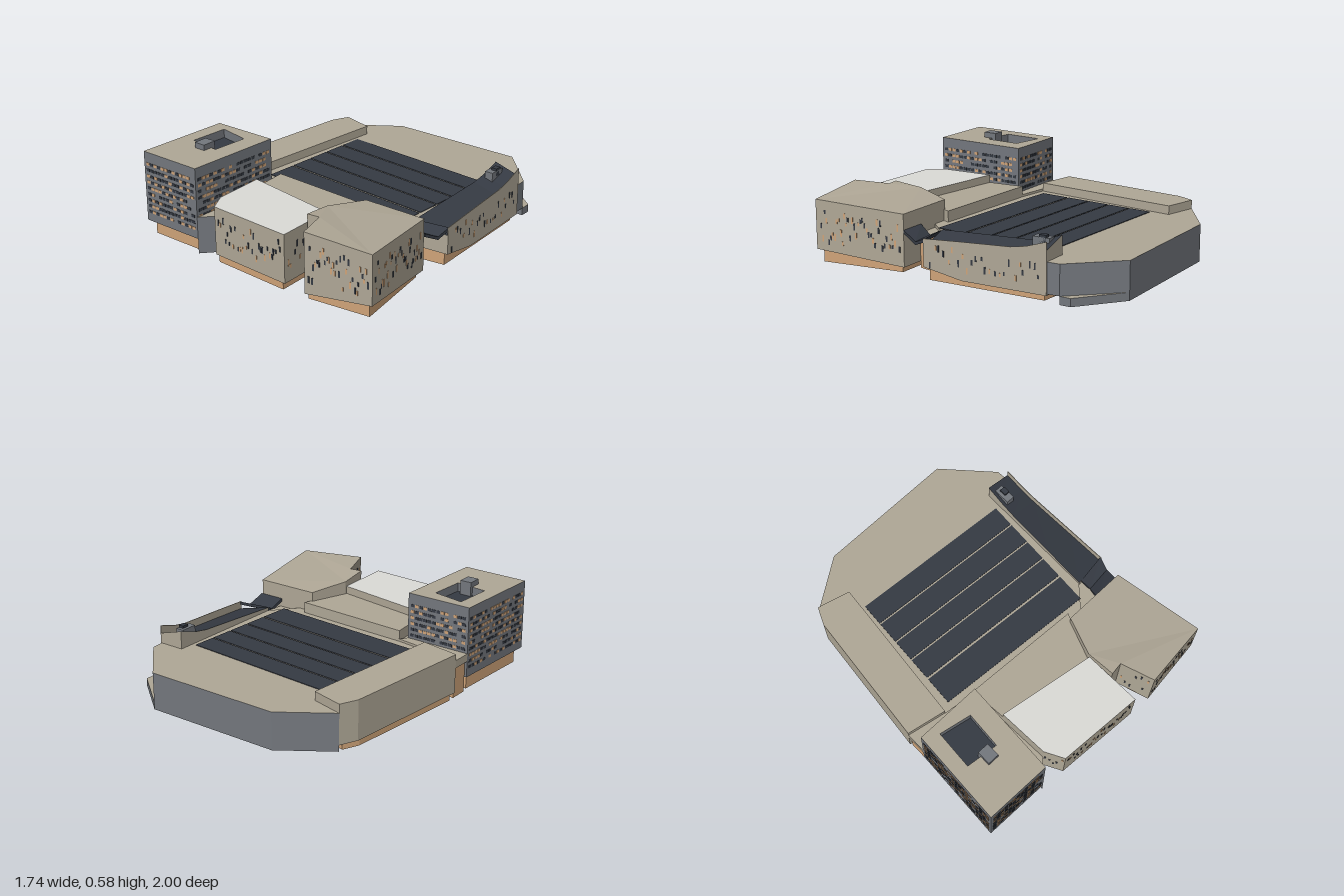
import * as THREE from 'three';
import { mergeGeometries } from 'three/addons/utils/BufferGeometryUtils.js';

const mat = (name, color, side = THREE.FrontSide) => {
  const m = new THREE.MeshStandardMaterial({ color, side });
  m.name = name;
  return m;
};

export function createModel() {
  const root = new THREE.Group();
  root.name = 'buildingComplex';
  const stone = mat('stone', 0xb0a897);
  const slate = mat('slate', 0x353a43);
  const grey = mat('greyPanel', 0x74787e, THREE.DoubleSide);
  const wood = mat('warmWood', 0xd0a479, THREE.DoubleSide);
  const pale = mat('paleRoof', 0xdcdcd8);

  let seed = 11;
  const rnd = () => (seed = (seed * 16807) % 2147483647) / 2147483647;

  const add = (name, geo, material) => {
    const m = new THREE.Mesh(geo, material);
    m.name = name;
    root.add(m);
  };

  // Solid over a plan outline of [x, z, bottom?, top?]
  function solid(name, plan, y0, y1, [wall, top, bottom], hole) {
    let ring = plan.map(([x, z, b = y0, t = y1]) =>
      ({ p: new THREE.Vector2(x, -z), hi: [x, t, z], lo: [x, b, z] }));
    if (THREE.ShapeUtils.isClockWise(ring.map(r => r.p))) ring = ring.reverse();
    const contour = ring.map(r => r.p);
    const groups = [[], [], []];
    ring.forEach((a, i) => {
      const b = ring[(i + 1) % ring.length];
      groups[0].push(a.lo, b.lo, b.hi, a.lo, b.hi, a.hi);
    });
    let holes = [], hiPts = ring.map(r => r.hi);
    if (hole) {
      let h = hole.map(([x, z]) => new THREE.Vector2(x, -z));
      if (!THREE.ShapeUtils.isClockWise(h)) h = h.reverse();
      holes = [h];
      hiPts = hiPts.concat(h.map(p => [p.x, y1, -p.y]));
    }
    for (const f of THREE.ShapeUtils.triangulateShape(contour, holes)) groups[1].push(...f.map(i => hiPts[i]));
    for (const [a, b, c] of THREE.ShapeUtils.triangulateShape(contour, []))
      groups[2].push(ring[a].lo, ring[c].lo, ring[b].lo);
    const geo = new THREE.BufferGeometry();
    geo.setAttribute('position', new THREE.Float32BufferAttribute(groups.flat(2), 3));
    let start = 0;
    groups.forEach((g, i) => { geo.addGroup(start, g.length, i); start += g.length; });
    geo.computeVertexNormals();
    add(name, geo, [wall, top, bottom]);
  }

  // Open ring of walls along an outline
  function band(name, plan, y0, y1, material) {
    const pts = [];
    plan.forEach(([x, z], i) => {
      const [u, w] = plan[(i + 1) % plan.length];
      pts.push(x, y0, z, u, y0, w, u, y1, w, x, y0, z, u, y1, w, x, y1, z);
    });
    const geo = new THREE.BufferGeometry();
    geo.setAttribute('position', new THREE.Float32BufferAttribute(pts, 3));
    geo.computeVertexNormals();
    add(name, geo, material);
  }

  // Recessed wooden plinth: the outline drawn in towards its middle
  function plinth(name, plan, height, k = 0.9) {
    const cx = plan.reduce((s, p) => s + p[0], 0) / plan.length;
    const cz = plan.reduce((s, p) => s + p[1], 0) / plan.length;
    band(name, plan.map(([x, z]) => [cx + (x - cx) * k, cz + (z - cz) * k]), 0, height, wood);
  }

  // Thin window plates on the wall from a to b; each item is [along, y, w, h, lit]
  function windows(name, a, b, items) {
    const dx = b[0] - a[0], dz = b[1] - a[1], sets = [[], []];
    for (const [t, y, w, h, lit] of items) {
      const g = new THREE.BoxGeometry(w, h, 0.004);
      g.rotateY(Math.atan2(-dz, dx));
      g.translate(a[0] + dx * t, y, a[1] + dz * t);
      sets[lit ? 1 : 0].push(g);
    }
    sets.forEach((s, i) => s.length && add(name + (i ? 'Lit' : 'Dark'), mergeGeometries(s), i ? wood : slate));
  }
  const scatter = (name, a, b, n, lo, hi) => windows(name, a, b, Array.from({ length: n }, (_, i) =>
    [0.04 + 0.92 * (i + 0.2 + 0.6 * rnd()) / n, lo + (hi - lo) * rnd(), 0.011, 0.02 + 0.024 * rnd(), rnd() < 0.35]));

  // Tower with a sunken roof court
  const tower = [[-0.84, 0.32], [-0.41, 0.32], [-0.44, 0.945], [-0.87, 0.94]];
  const court = [[-0.745, 0.38], [-0.54, 0.42], [-0.555, 0.655], [-0.76, 0.63]];
  solid('tower', tower, 0.095, 0.545, [grey, stone, slate], court);
  band('courtWalls', court, 0.49, 0.545, grey);
  solid('courtFloor', court, 0.485, 0.49, [slate, slate, slate]);
  plinth('towerPlinth', tower, 0.1, 0.87);
  add('towerRoofUnit', new THREE.BoxGeometry(0.075, 0.09, 0.09).translate(-0.63, 0.535, 0.665), grey);
  tower.forEach((p, s) => {
    const q = tower[(s + 1) % 4];
    const cols = Math.round(Math.hypot(q[0] - p[0], q[1] - p[1]) / 0.031) - 1;
    const items = [];
    for (let r = 0; r < 9; r++) for (let c = 0; c < cols; c++)
      if (rnd() < 0.88) items.push([(c + 1) / (cols + 1), 0.157 + r * 0.039, 0.025, 0.018, rnd() < 0.45]);
    windows('towerWindows' + s, p, q, items);
  });

  // Low links beside and behind the tower
  solid('towerSideLink', [[-0.41, 0.32], [-0.38, 0.27], [-0.36, 0.51], [-0.345, 0.84], [-0.44, 0.945]],
    0, 0.235, [grey, stone, grey]);
  const rear = [[-0.84, 0.19], [-0.585, 0.24], [-0.38, 0.27], [-0.41, 0.32], [-0.84, 0.32]];
  solid('towerRearLink', rear, 0.2, 0.25, [stone, stone, slate]);
  plinth('towerRearLobby', rear, 0.21, 0.94);

  // Centre front wing with a pale roof
  const centre = [[-0.36, 0.51], [-0.345, 0.84], [-0.28, 0.96], [0.28, 0.99], [0.27, 0.61]];
  solid('centreWing', centre, 0.05, 0.355, [stone, pale, slate]);
  plinth('centrePlinth', centre, 0.06, 0.93);
  scatter('centreFrontWindows', centre[2], centre[3], 30, 0.11, 0.31);
  scatter('centreCornerWindows', centre[1], centre[2], 5, 0.11, 0.31);
  scatter('centreSideWindows', centre[3], centre[4], 12, 0.11, 0.31);

  // Link between the hall and the front wings
  const link = [[-0.38, 0.27], [0.39, 0.31], [0.27, 0.61], [-0.36, 0.51]];
  solid('middleLink', link, 0.04, 0.305, [stone, stone, slate]);
  plinth('middlePlinth', link, 0.05, 0.93);

  // Front wing with a slanted roof and a lifted corner
  const wing = [[0.36, 0.355, 0.04, 0.365], [0.775, 0.355, 0.04, 0.365], [0.865, 0.945, 0.085, 0.395],
    [0.43, 0.995, 0.04, 0.42], [0.36, 0.78, 0.04, 0.41], [0.28, 0.79, 0.04, 0.41], [0.27, 0.6, 0.04, 0.39]];
  solid('slantedWing', wing, 0, 0, [stone, stone, slate]);
  plinth('slantedWingPlinth', wing, 0.09, 0.91);
  scatter('wingFrontWindows', wing[3], wing[2], 32, 0.13, 0.34);
  scatter('wingSideWindows', wing[2], wing[1], 40, 0.13, 0.33);
  scatter('wingInnerWindows', wing[4], wing[3], 7, 0.1, 0.36);

  // Hall roof with five dark bands
  const hall = [[-0.49, -0.735], [0.61, -0.63], [0.6, 0.2], [0.46, 0.36], [0.34, 0.4], [0.3, 0.305],
    [-0.38, 0.27], [-0.585, 0.24]];
  solid('hallRoof', hall, 0.215, 0.235, [stone, stone, stone]);
  solid('hallFrontWall', [[-0.57, 0.238], [0.39, 0.308], [0.39, 0.3], [-0.57, 0.23]], 0.01, 0.22, [stone, stone, stone]);
  [[-0.61, -0.465], [-0.455, -0.31], [-0.3, -0.16], [-0.15, -0.003], [0.01, 0.2]].forEach(([a, b], i) => {
    const L = z => [-0.475 - (z + 0.61) * 0.06, z], R = z => [0.58 - (z + 0.61) * 0.055, z + 0.077];
    solid('roofBand' + i, [L(a), R(a), R(b), L(b)], 0.234, 0.239, [slate, slate, slate]);
  });

  // Left range
  const left = [[-0.7, -0.79], [-0.49, -0.735], [-0.585, 0.24], [-0.84, 0.19], [-0.75, -0.68]];
  solid('leftRange', left, 0.04, 0.29, [stone, stone, slate]);
  plinth('leftPlinth', left, 0.05, 0.93);

  // Rear range on a foot that projects at one corner, with a stone inner wall
  solid('rearRange', [[-0.7, -0.79], [-0.39, -1], [0.5, -1], [0.77, -0.71], [0.775, -0.625],
    [0.61, -0.63], [-0.49, -0.735]], 0.05, 0.235, [grey, stone, grey]);
  solid('rearFoot', [[-0.7, -0.79], [-0.39, -1], [0.5, -1], [0.77, -0.78], [0.77, -0.71]], 0, 0.05, [grey, stone, grey]);
  solid('rearInnerWall', [[-0.49, -0.735], [0.61, -0.63], [0.61, -0.625], [-0.49, -0.73]], 0.05, 0.23, [stone, stone, stone]);

  // Right range: a swept parapet outside, the dark roof falling towards it
  const sweep = [[-0.63, 0.35, 0.04], [-0.5, 0.308, 0.04], [-0.4, 0.29, 0.04], [-0.08, 0.272, 0.04], [0.18, 0.255, 0.085]];
  const row = ([z, top, low], drop, inset) => [0.78 + (z + 0.63) * 0.05 - inset, z, low, top - drop];
  const innerRow = ([z, top, low]) => [0.61 - (z + 0.63) * 0.012, z + (z > 0 ? 0.02 : 0), low, top];
  for (let i = 0; i < 4; i++) {
    const a = sweep[i], b = sweep[i + 1];
    solid('rightRange' + i, [innerRow(a), row(a, 0.05, 0.004), row(b, 0.05, 0.004), innerRow(b)], 0, 0, [stone, slate, slate]);
    solid('rightParapet' + i, [row(a, 0, 0.004), row(a, 0, 0), row(b, 0, 0), row(b, 0, 0.004)], 0, 0, [stone, stone, slate]);
  }
  band('rightPlinth', [[0.64, -0.61], [0.75, -0.6], [0.785, 0.16], [0.63, 0.18]], 0, 0.08, wood);
  scatter('rightRangeWindows', row(sweep[4], 0, 0), row(sweep[0], 0, 0), 24, 0.1, 0.22);
  add('rightRoofUnit', new THREE.BoxGeometry(0.055, 0.07, 0.11).translate(0.657, 0.305, -0.535), grey);
  add('rightRoofUnitTop', new THREE.BoxGeometry(0.035, 0.05, 0.045).translate(0.667, 0.33, -0.545), slate);

  // Folded entrance canopy and the wooden lobby below it
  const v1 = [0.8, 0.25, 0.2, 0.22], v2 = [0.63, 0.27, 0.2, 0.22];
  solid('canopyRear', [[0.62, 0.2, 0.235, 0.255], [0.82, 0.17, 0.235, 0.255], v1, v2], 0, 0, [slate, slate, slate]);
  solid('canopyFront', [v2, v1, [0.78, 0.35, 0.25, 0.27], [0.61, 0.35, 0.25, 0.27]], 0, 0, [slate, slate, slate]);
  solid('lobby', [[0.42, 0.3], [0.46, 0.352], [0.62, 0.35], [0.65, 0.2], [0.6, 0.2]], 0, 0.215, [wood, stone, wood]);

  return root;
}
